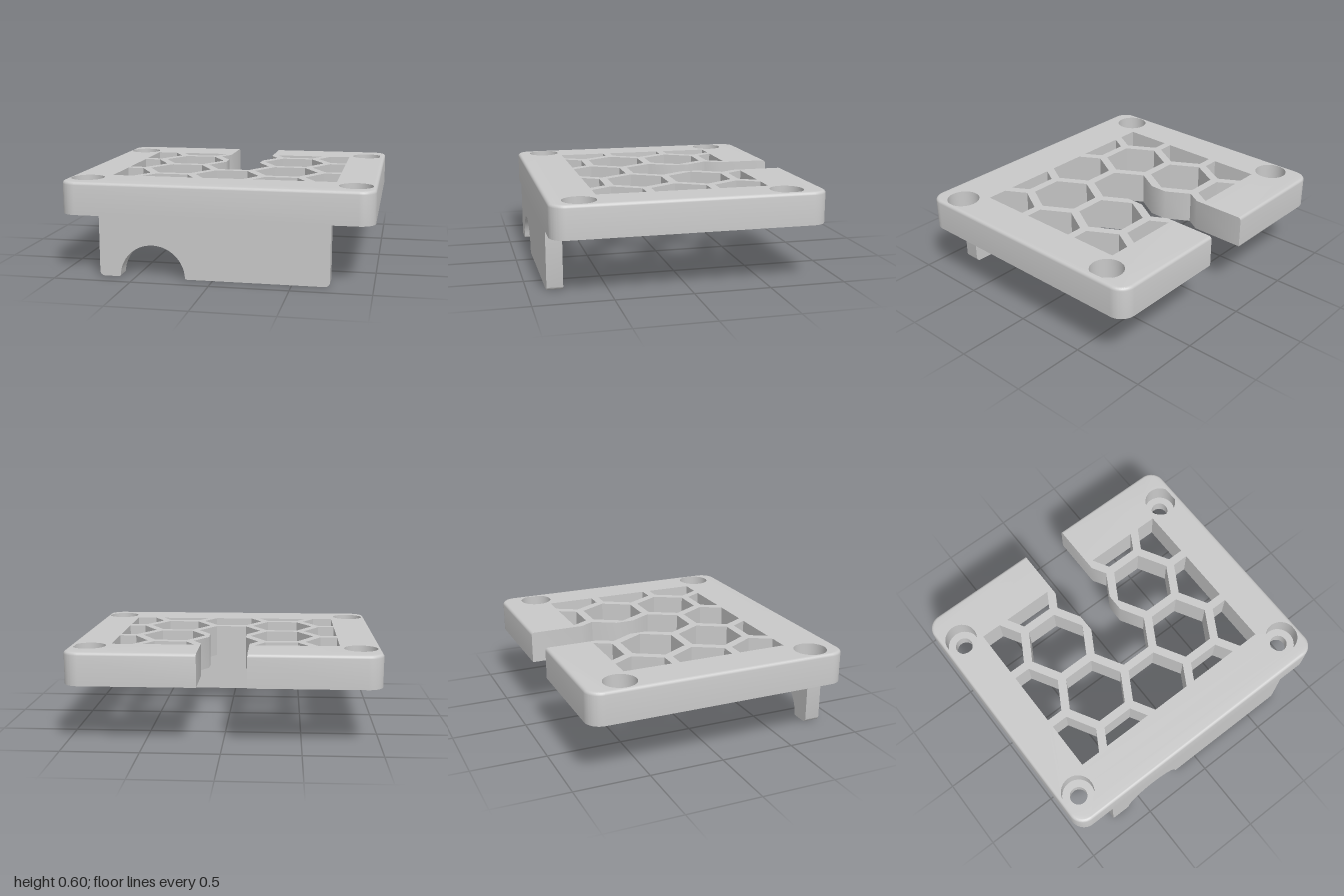
import * as THREE from 'three';
import { toCreasedNormals } from 'three/addons/utils/BufferGeometryUtils.js';

const W = 1, D = 0.88, CORNER = 0.1;        // plate half sizes and corner radius
const BOTTOM = 0.387, TOP = 0.6;            // plate heights
const WIN = { x: 0.74, z0: -0.563, z1: 0.563 }; // honeycomb window
const HEX = 0.213, PITCH = 0.4245;          // cell radius, cell spacing
const SCREWS = [[-0.87, -0.638], [0.87, -0.638], [-0.87, 0.686], [0.87, 0.686]];

// Hexagon with two corners along x, wound so its walls face into the cell
function hexagon(cx, cz) {
  return Array.from({ length: 6 }, (_, i) => {
    const a = i * Math.PI / 3;
    return [cx + HEX * Math.cos(a), cz - HEX * Math.sin(a)];
  });
}

// Keep the part of a polygon where dir * p[axis] <= dir * limit
function clip(poly, axis, limit, dir) {
  const out = [];
  poly.forEach((p, i) => {
    const q = poly[(i + 1) % poly.length];
    const a = dir * (p[axis] - limit), b = dir * (q[axis] - limit);
    if (a <= 0) out.push(p);
    if (a * b < 0) {
      const t = a / (a - b);
      out.push([p[0] + (q[0] - p[0]) * t, p[1] + (q[1] - p[1]) * t]);
    }
  });
  return out;
}

// Plan drawn with shape y = -z
function plateShape() {
  const s = new THREE.Shape();
  const x = W - CORNER, y = D - CORNER, h = Math.PI / 2;
  // right side of the cable slot, from its closed end to the back edge
  const slot = [[0.1065, 0.1855], [0.213, 0.001], [0.125, -0.151], [0.125, -0.272],
    [0.213, -0.424], [0.158, -0.519], [0.158, -D]];
  s.moveTo(slot[0][0], -slot[0][1]);
  slot.slice(1).forEach(([px, pz]) => s.lineTo(px, -pz));
  s.absarc(x, y, CORNER, h, 0, true);
  s.absarc(x, -y, CORNER, 0, -h, true);
  s.absarc(-x, -y, CORNER, -h, -2 * h, true);
  s.absarc(-x, y, CORNER, 2 * h, h, true);
  [...slot].reverse().forEach(([px, pz]) => s.lineTo(-px, -pz));
  s.closePath();

  // honeycomb cells, trimmed to the window
  const cells = [[0, 0.424]];
  for (const side of [-1, 1]) {
    for (let i = 0; i < 4; i++) cells.push([side * 0.368, -0.636 + i * PITCH]);
    for (let i = 0; i < 3; i++) cells.push([side * 0.736, -0.424 + i * PITCH]);
  }
  for (const [cx, cz] of cells) {
    let p = hexagon(cx, cz);
    p = clip(p, 0, WIN.x, 1);
    p = clip(p, 0, -WIN.x, -1);
    p = clip(p, 1, WIN.z1, 1);
    p = clip(p, 1, WIN.z0, -1);
    s.holes.push(new THREE.Path(p.map(([px, pz]) => new THREE.Vector2(px, -pz))));
  }
  // counterbores
  for (const [cx, cz] of SCREWS) {
    s.holes.push(new THREE.Path().absarc(cx, -cz, 0.108, 0, Math.PI * 2, false));
  }
  return s;
}

// Plate whose outer top edge is rounded by pulling in the upper layers
function plateGeometry() {
  const R = 0.02, n = 4, steps = n + 1;
  const g = new THREE.ExtrudeGeometry(plateShape(),
    { depth: steps, steps, bevelEnabled: false, curveSegments: 16 });
  const pos = g.attributes.position;
  for (let i = 0; i < pos.count; i++) {
    let x = pos.getX(i), y = pos.getY(i);
    const layer = Math.round(pos.getZ(i));
    const a = Math.max(0, layer - 1) / n * Math.PI / 2;
    const inset = R * (1 - Math.cos(a));
    const height = layer === 0 ? BOTTOM : TOP - R + R * Math.sin(a);
    const dx = x - THREE.MathUtils.clamp(x, CORNER - W, W - CORNER);
    const dy = y - THREE.MathUtils.clamp(y, CORNER - D, D - CORNER);
    const d = Math.hypot(dx, dy);
    if (d > CORNER - 0.001) {
      x -= dx / d * inset;
      y -= dy / d * inset;
    }
    pos.setXYZ(i, x, y, height);
  }
  g.rotateX(-Math.PI / 2);
  return toCreasedNormals(g, 0.6);
}

// Front skirt with a half-round cable notch
function skirtGeometry() {
  const w = 0.735, r = 0.03, cx = -0.388, R = 0.211, e = 0.012;
  const s = new THREE.Shape();
  s.moveTo(-w, BOTTOM);
  s.lineTo(-w, r);
  s.absarc(-w + r, r, r, Math.PI, Math.PI * 1.5, false);
  s.lineTo(cx - R - e, 0);
  s.quadraticCurveTo(cx - R, 0, cx - R, e);
  s.absarc(cx, 0, R, Math.PI - 0.06, 0.06, true);
  s.quadraticCurveTo(cx + R, 0, cx + R + e, 0);
  s.lineTo(w - r, 0);
  s.absarc(w - r, r, r, Math.PI * 1.5, Math.PI * 2, false);
  s.lineTo(w, BOTTOM);
  s.closePath();
  const g = new THREE.ExtrudeGeometry(s, { depth: 0.105, bevelEnabled: false, curveSegments: 16 });
  g.translate(0, 0, D - 0.105);
  return toCreasedNormals(g, 0.6);
}

// Floor ring under each screw head
function seatGeometry() {
  const h = 0.08, s = new THREE.Shape();
  s.absarc(0, 0, 0.108, 0, Math.PI * 2, false);
  s.holes.push(new THREE.Path().absarc(0, 0, 0.058, 0, Math.PI * 2, false));
  const g = new THREE.ExtrudeGeometry(s, { depth: h, bevelEnabled: false, curveSegments: 16 });
  g.rotateX(-Math.PI / 2);
  return toCreasedNormals(g, 0.6);
}

export function createModel() {
  const model = new THREE.Group();
  model.name = 'ventedCover';
  const grey = new THREE.MeshStandardMaterial({ color: 0xc9c9c9 });
  grey.name = 'lightGrey';
  const add = (name, geometry) => {
    const mesh = new THREE.Mesh(geometry, grey);
    mesh.name = name;
    model.add(mesh);
    return mesh;
  };
  add('honeycombPlate', plateGeometry());
  add('frontSkirt', skirtGeometry());
  const seat = seatGeometry();
  for (const [x, z] of SCREWS) add('screwSeat', seat).position.set(x, BOTTOM, z);
  return model;
}
